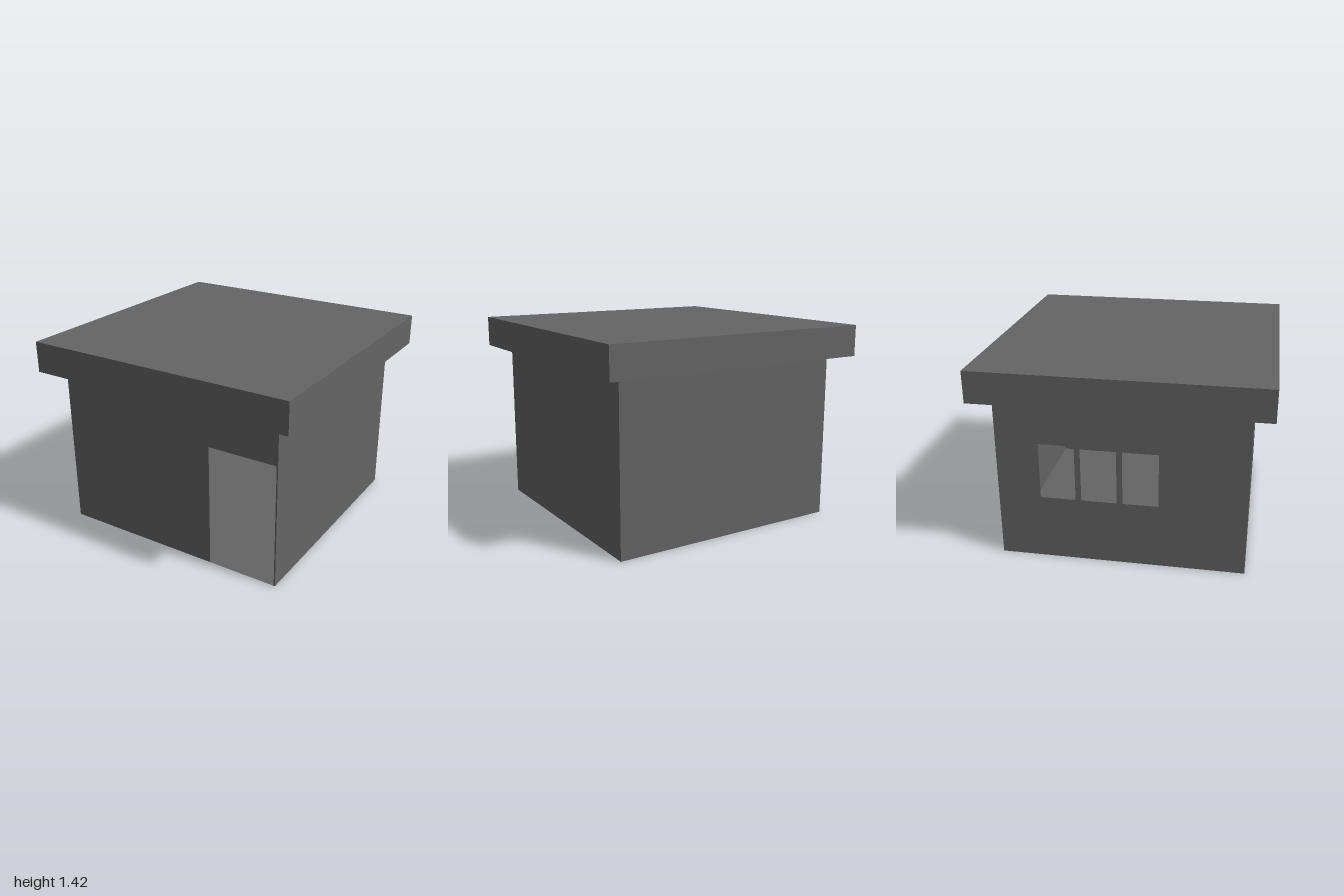
import * as THREE from 'three';

const HALF = 0.864;      // half width of the walls
const WALL_TOP = 1.197;
const ROOF_TOP = 1.42;

const material = new THREE.MeshStandardMaterial({
  color: 0x646464, flatShading: true, side: THREE.DoubleSide,
});

function polygon(points, Type = THREE.Shape) {
  return new Type(points.map(([x, y]) => new THREE.Vector2(x, y)));
}

function rectangle(x0, y0, x1, y1, Type) {
  return polygon([[x0, y0], [x1, y0], [x1, y1], [x0, y1]], Type);
}

function addMesh(group, name, geometry) {
  const mesh = new THREE.Mesh(geometry, material);
  mesh.name = name;
  group.add(mesh);
  return mesh;
}

// A thin wall sheet drawn in xy, pushed out to its side and turned to face outward
function addWall(group, name, shape, angle) {
  const geometry = new THREE.ShapeGeometry(shape);
  geometry.translate(0, 0, HALF);
  geometry.rotateY(angle);
  addMesh(group, name, geometry);
}

export function createModel() {
  const group = new THREE.Group();
  group.name = 'hut';

  // Front wall with an open doorway next to its left corner
  const doorLeft = 0.346, doorRight = 0.854, doorTop = 0.9;
  addWall(group, 'frontWall', polygon([
    [-HALF, 0], [doorLeft, 0], [doorLeft, doorTop], [doorRight, doorTop],
    [doorRight, 0], [HALF, 0], [HALF, WALL_TOP], [-HALF, WALL_TOP],
  ]), 0);

  // Plain walls
  const plain = rectangle(-HALF, 0, HALF, WALL_TOP);
  addWall(group, 'backWall', plain, Math.PI);
  addWall(group, 'leftWall', plain, Math.PI / 2);

  // Wall with a row of three open windows split by slim mullions
  const windowWall = rectangle(-HALF, 0, HALF, WALL_TOP);
  const paneWidth = 0.248, mullion = 0.04;
  for (let i = 0; i < 3; i++) {
    const z = -0.563 + i * (paneWidth + mullion);
    windowWall.holes.push(rectangle(z, 0.47, z + paneWidth, 0.876, THREE.Path));
  }
  addWall(group, 'windowWall', windowWall, -Math.PI / 2);

  // Floor
  const floor = new THREE.PlaneGeometry(2 * HALF, 2 * HALF);
  floor.rotateX(-Math.PI / 2);
  addMesh(group, 'floor', floor);

  // Flat overhanging roof slab
  const roof = addMesh(group, 'roof', new THREE.BoxGeometry(2, ROOF_TOP - WALL_TOP, 2));
  roof.position.y = (ROOF_TOP + WALL_TOP) / 2;

  return group;
}
